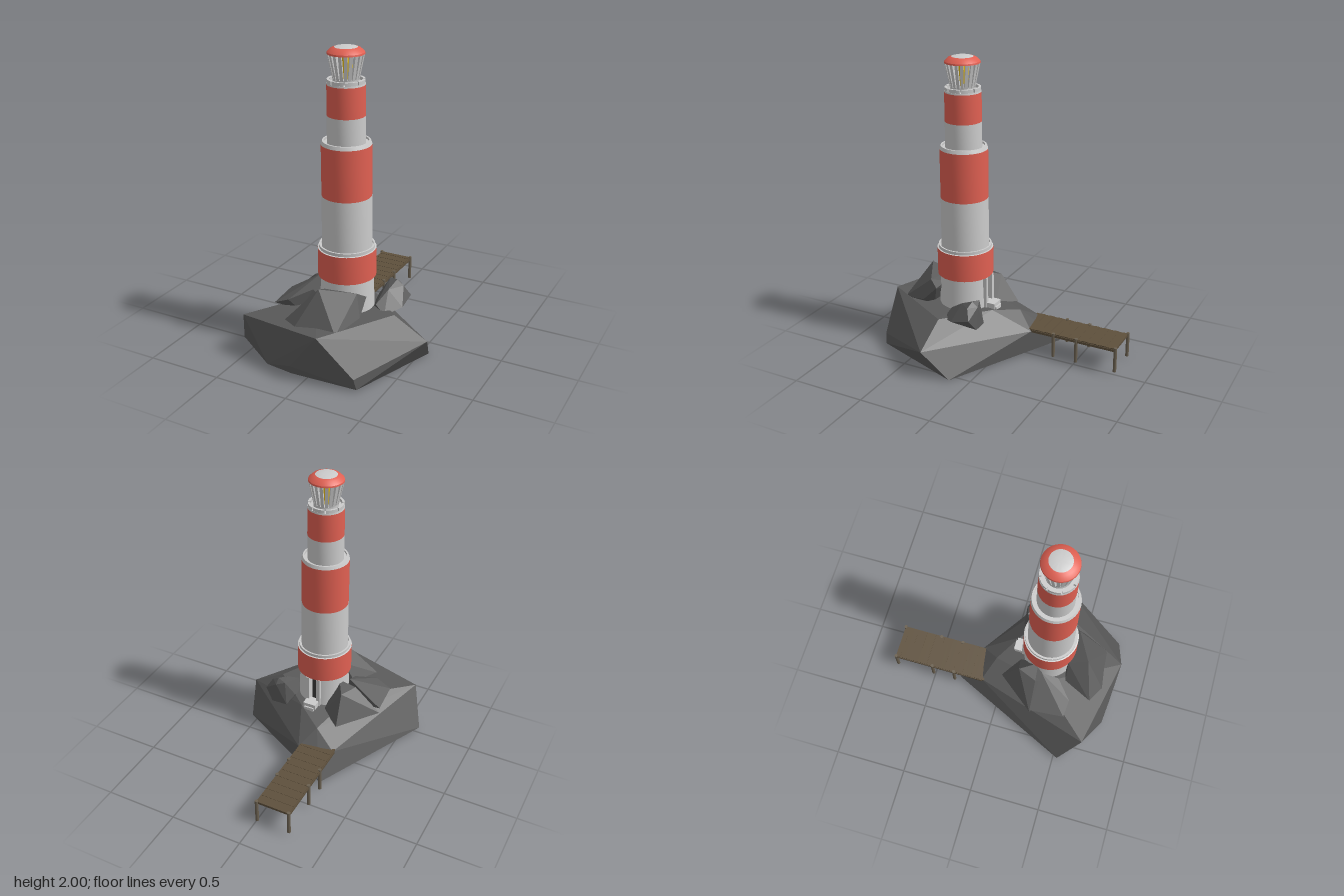
import * as THREE from 'three';
import { ConvexGeometry } from 'three/addons/geometries/ConvexGeometry.js';
import { toCreasedNormals } from 'three/addons/utils/BufferGeometryUtils.js';

const mat = (color, extra = {}) => {
  const m = new THREE.MeshStandardMaterial({ color });
  return Object.assign(m, extra);
};
const WHITE = mat(0xcccccc);
const WHITE_THIN = mat(0xcccccc, { side: THREE.DoubleSide });
const RED = mat(0xe06052);
const ROCK = mat(0x5a5a5a, { flatShading: true });
const WOOD = mat(0x5e503c);
const POST = mat(0x6a6050);
const YELLOW = mat(0xe0b818);
const DARK = mat(0x3a3a3a);

function add(parent, name, geometry, material, x = 0, y = 0, z = 0) {
  const mesh = new THREE.Mesh(geometry, material);
  mesh.name = name;
  mesh.position.set(x, y, z);
  parent.add(mesh);
  return mesh;
}

const rock = (parent, name, points) =>
  add(parent, name, new ConvexGeometry(points.map(p => new THREE.Vector3(...p))), ROCK);

// Turned part from [radius, height] pairs, listed from bottom to top
function turned(parent, name, profile, material) {
  const lathe = new THREE.LatheGeometry(profile.map(p => new THREE.Vector2(...p)), 40);
  return add(parent, name, toCreasedNormals(lathe, 0.5), material);
}

function createRocks() {
  const g = new THREE.Group();
  g.name = 'rocks';
  rock(g, 'island', [
    [-0.61, 0.02, 0.53], [-0.27, 0.04, 0.775], [-0.1, 0.015, 0.765], [-0.1, 0.08, 0.79],
    [0.345, 0.015, 0.745], [0.33, 0.085, 0.755], [0.55, 0, 0.13], [-0.22, 0.03, -0.31],
    [0.61, 0.19, 0.3], [-0.51, 0.28, 0.67], [0.1, 0.33, 0.8], [0.38, 0.32, 0.3],
    [0, 0.17, -0.19], [-0.235, 0.175, -0.14], [-0.08, 0.27, -0.07], [0.1, 0.32, 0.05], [-0.18, 0.33, 0.3],
  ]);
  rock(g, 'frontBoulder', [
    [-0.22, 0.3, 0.65], [-0.11, 0.3, 0.72], [0.17, 0.31, 0.69], [0.24, 0.36, 0.5],
    [-0.01, 0.53, 0.57], [0.2, 0.5, 0.46], [0.235, 0.46, 0.4], [-0.04, 0.47, 0.44],
    [-0.14, 0.3, 0.45], [0.1, 0.46, 0.4], [0.1, 0.25, 0.5],
  ]);
  rock(g, 'leftBoulder', [
    [-0.19, 0.27, 0.0], [-0.4, 0.28, 0.26], [-0.17, 0.46, 0.12], [-0.05, 0.3, 0.1],
    [-0.1, 0.48, 0.24], [-0.22, 0.45, 0.25], [-0.15, 0.25, 0.35],
  ]);
  rock(g, 'leftSlab', [
    [-0.4, 0.32, 0.26], [-0.38, 0.32, 0.5], [-0.27, 0.37, 0.51], [-0.16, 0.48, 0.28],
    [-0.15, 0.42, 0.4], [-0.12, 0.3, 0.3], [-0.22, 0.28, 0.45], [-0.3, 0.28, 0.3],
  ]);
  rock(g, 'rightBoulder', [
    [0.18, 0.34, 0.11], [0.22, 0.28, 0.05], [0.33, 0.28, 0.045], [0.39, 0.36, 0.07],
    [0.39, 0.33, 0.2], [0.31, 0.3, 0.3], [0.24, 0.35, 0.28], [0.19, 0.3, 0.22],
    [0.3, 0.46, 0.09], [0.24, 0.45, 0.07], [0.35, 0.43, 0.1], [0.28, 0.42, 0.18], [0.3, 0.43, 0.05],
  ]);
  return g;
}

function createTower() {
  const g = new THREE.Group();
  g.name = 'tower';
  g.position.set(0.038, 0, 0.284);

  // Ground storey with a doorway facing the back
  const gap = 0.27;
  add(g, 'baseWall', new THREE.CylinderGeometry(0.168, 0.178, 0.29, 40, 1, true, Math.PI + gap, 2 * Math.PI - 2 * gap),
    WHITE_THIN, 0, 0.395, 0);
  add(g, 'door', new THREE.BoxGeometry(0.1, 0.25, 0.02), DARK, 0, 0.415, -0.125);
  for (const s of [-1, 1]) {
    add(g, 'doorJamb', new THREE.BoxGeometry(0.026, 0.23, 0.06), WHITE, s * 0.04, 0.42, -0.155);
  }
  add(g, 'doorstep', new THREE.BoxGeometry(0.09, 0.04, 0.08), WHITE, 0, 0.335, -0.2);
  add(g, 'lowerStep', new THREE.BoxGeometry(0.07, 0.03, 0.03), WHITE, 0, 0.315, -0.235);

  // Stepped shaft with alternating bands and lipped ledges
  turned(g, 'lowerRedBand', [[0.15, 0.535], [0.186, 0.535], [0.186, 0.72]], RED);
  turned(g, 'lowerLedge', [[0.186, 0.72], [0.177, 0.722], [0.177, 0.742], [0.166, 0.742], [0.166, 0.728], [0.15, 0.728]], WHITE);
  turned(g, 'middleWhiteBand', [[0.159, 0.72], [0.157, 1.07]], WHITE);
  turned(g, 'middleRedBand', [[0.157, 1.07], [0.157, 1.4]], RED);
  turned(g, 'middleLedge', [[0.157, 1.4], [0.149, 1.422], [0.138, 1.422], [0.138, 1.408], [0.11, 1.408]], WHITE);
  turned(g, 'upperWhiteBand', [[0.119, 1.4], [0.119, 1.58]], WHITE);
  turned(g, 'upperRedBand', [[0.119, 1.58], [0.118, 1.77]], RED);
  turned(g, 'galleryFloor', [[0.118, 1.768], [0.116, 1.78], [0, 1.78]], WHITE);

  // Gallery parapet split into short wall pieces
  const pieces = 8;
  for (let i = 0; i < pieces; i++) {
    const a = (i / pieces) * Math.PI * 2;
    const arc = new THREE.Shape();
    const half = Math.PI / pieces - 0.04;
    arc.absarc(0, 0, 0.115, a - half, a + half, false);
    arc.absarc(0, 0, 0.1, a + half, a - half, true);
    const wall = new THREE.ExtrudeGeometry(arc, { depth: 0.028, bevelEnabled: false, curveSegments: 6 });
    add(g, 'parapet', wall.rotateX(-Math.PI / 2), WHITE, 0, 1.774, 0);
  }
  g.add(createLantern());
  return g;
}

function createLantern() {
  const g = new THREE.Group();
  g.name = 'lantern';
  turned(g, 'lanternFoot', [[0.08, 1.775], [0.08, 1.805], [0, 1.805]], WHITE);
  add(g, 'lamp', new THREE.CylinderGeometry(0.04, 0.04, 0.16, 16), YELLOW, 0, 1.88, 0);

  // Bars lean outwards towards the roof
  const bars = 20;
  const lean = Math.atan2(0.032, 0.15);
  for (let i = 0; i < bars; i++) {
    const spoke = new THREE.Group();
    spoke.name = 'lanternBar';
    spoke.rotation.y = (i / bars) * Math.PI * 2 + Math.PI / bars;
    add(spoke, 'bar', new THREE.BoxGeometry(0.02, 0.158, 0.014), WHITE, 0, 1.88, 0.09).rotation.x = lean;
    g.add(spoke);
  }
  turned(g, 'roof', [[0, 1.953], [0.115, 1.953], [0.113, 1.963], [0.09, 1.985], [0.07, 1.992]], RED);
  turned(g, 'roofCap', [[0.07, 1.992], [0.05, 1.997], [0.025, 1.999], [0, 2]], WHITE);
  return g;
}

function createJetty() {
  const g = new THREE.Group();
  g.name = 'jetty';
  const planks = 20;
  const pitch = 0.67 / planks;
  for (let i = 0; i < planks; i++) {
    // Alternate planks sit slightly lower
    add(g, 'plank', new THREE.BoxGeometry(0.234, 0.016, pitch), WOOD, -0.126, 0.177 - (i % 2) * 0.002, -0.79 + (i + 0.5) * pitch);
  }
  for (const x of [-0.242, -0.01]) {
    add(g, 'beam', new THREE.BoxGeometry(0.012, 0.016, 0.65), WOOD, x, 0.17, -0.46);
    for (const z of [-0.788, -0.513, -0.35]) {
      add(g, 'post', new THREE.CylinderGeometry(0.012, 0.012, 0.172, 8), POST, x, 0.104, z);
    }
  }
  return g;
}

export function createModel() {
  const model = new THREE.Group();
  model.name = 'lighthouse';
  model.add(createRocks(), createTower(), createJetty());
  return model;
}
